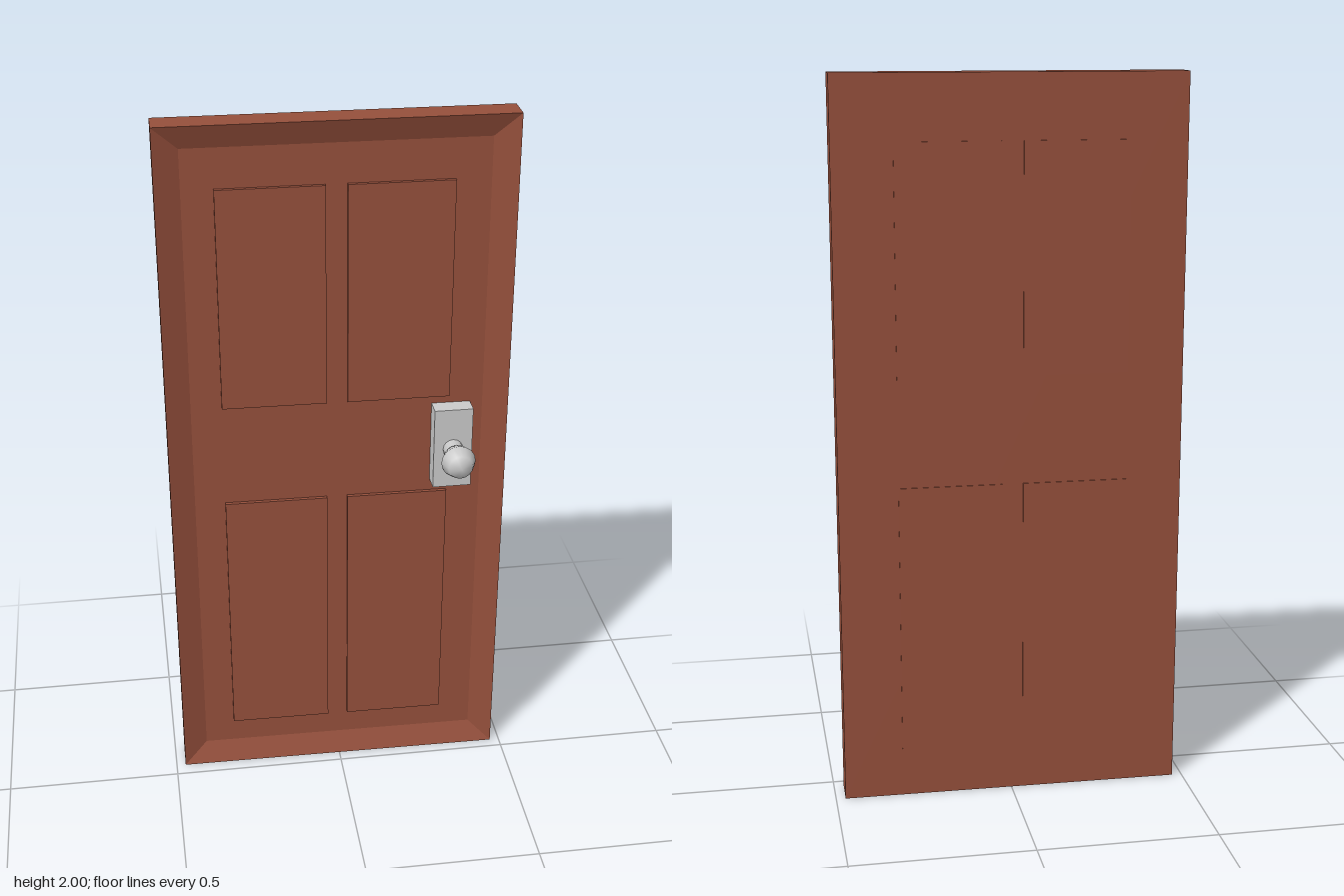
import * as THREE from 'three';

const wood = new THREE.MeshStandardMaterial({ color: 0x96503c });
const metal = new THREE.MeshStandardMaterial({ color: 0xcccccc });

function addMesh(parent, name, geometry, material, x, y, z) {
  const mesh = new THREE.Mesh(geometry, material);
  mesh.name = name;
  mesh.position.set(x, y, z);
  parent.add(mesh);
  return mesh;
}

// Solid through rectangular rings [halfWidth, halfHeight, z], capped at both ends
function ringSolid(rings) {
  const corners = rings.map(([w, h, z]) => [[-w, -h, z], [w, -h, z], [w, h, z], [-w, h, z]]);
  const pos = [];
  const quad = (a, b, c, d) => pos.push(...a, ...b, ...c, ...a, ...c, ...d);
  for (let k = 0; k < corners.length - 1; k++) {
    for (let i = 0; i < 4; i++) {
      const j = (i + 1) % 4;
      quad(corners[k][i], corners[k][j], corners[k + 1][j], corners[k + 1][i]);
    }
  }
  const [a, b, c, d] = corners[0];
  quad(d, c, b, a);
  quad(...corners[corners.length - 1]);
  const geometry = new THREE.BufferGeometry();
  geometry.setAttribute('position', new THREE.Float32BufferAttribute(pos, 3));
  geometry.computeVertexNormals();
  return geometry;
}

export function createModel() {
  const model = new THREE.Group();
  model.name = 'door';

  // Door leaf, turned very slightly about its upright axis
  const leaf = new THREE.Group();
  leaf.name = 'doorLeaf';
  leaf.position.z = -0.076;
  leaf.rotation.y = -0.0106;
  model.add(leaf);

  // Slab whose front slopes inward from the rim to a recessed field
  addMesh(leaf, 'slab', ringSolid([
    [0.473, 1, -0.041],
    [0.473, 1, 0.041],
    [0.405, 0.935, 0.016],
  ]), wood, 0, 1, 0);

  // Four raised panels that pass through the slab
  for (const [x0, x1] of [[-0.32, -0.032], [0.026, 0.31]]) {
    for (const [name, y0, y1] of [['lowerPanel', 0.14, 0.9], ['upperPanel', 1.2, 1.825]]) {
      addMesh(leaf, name, new THREE.BoxGeometry(x1 - x0, y1 - y0, 0.07),
        wood, (x0 + x1) / 2, (y0 + y1) / 2, -0.0085);
    }
  }

  // Handle: backplate, neck and round knob
  const handle = new THREE.Group();
  handle.name = 'handle';
  handle.position.set(0.316, 1.056, 0);
  model.add(handle);
  addMesh(handle, 'backplate', new THREE.BoxGeometry(0.108, 0.24, 0.06), metal, 0, 0, -0.036);
  addMesh(handle, 'neck', new THREE.CylinderGeometry(0.028, 0.028, 0.055, 16), metal, 0, 0, 0.0175)
    .rotation.x = Math.PI / 2;
  addMesh(handle, 'knob', new THREE.SphereGeometry(0.048, 16, 4), metal, 0, 0, 0.072)
    .rotation.x = Math.PI / 2;

  return model;
}
